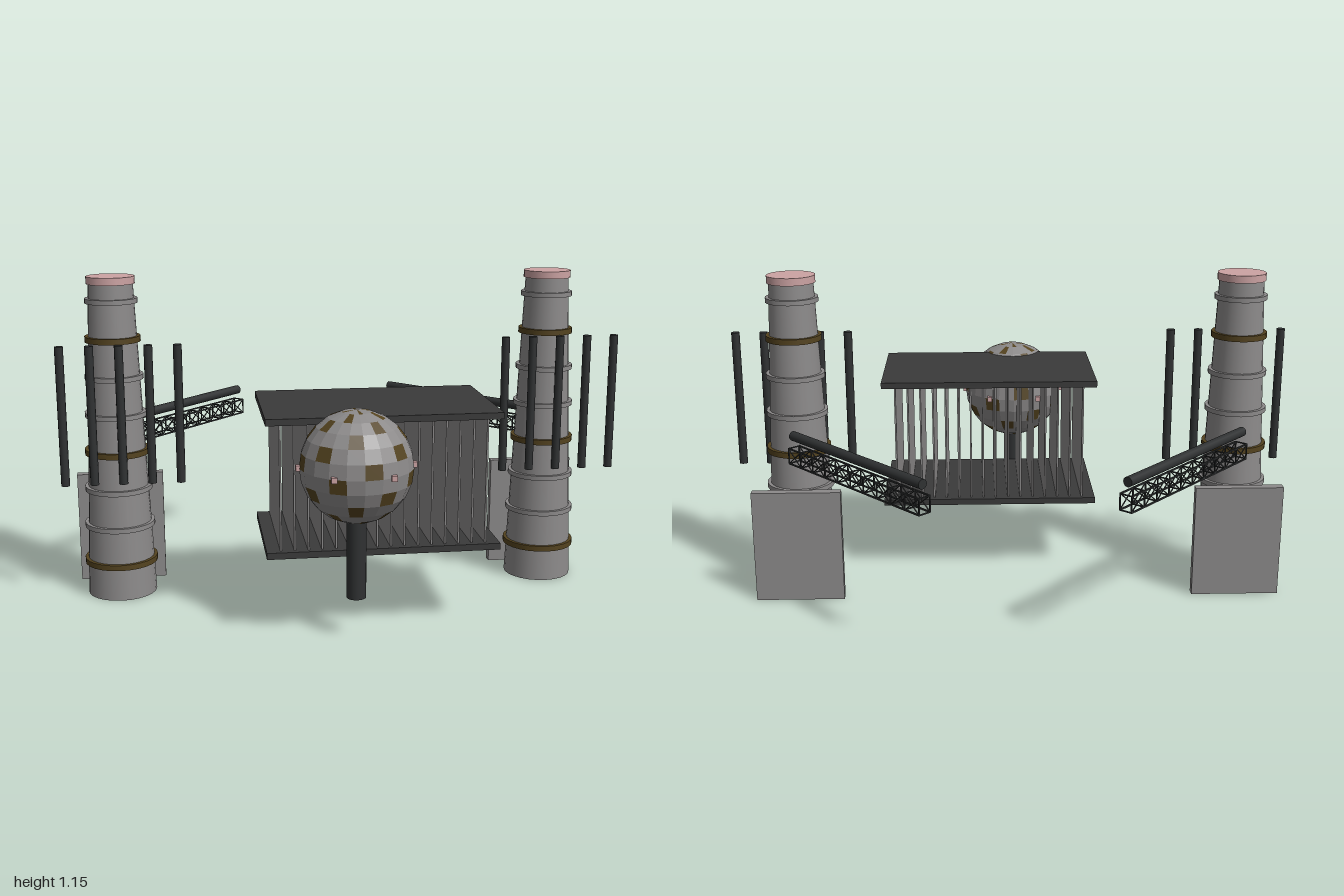
import * as THREE from 'three';

const mat = (name, color, extra = {}) => {
  const m = new THREE.MeshStandardMaterial({ color, ...extra });
  m.name = name;
  return m;
};

export function createModel() {
  const grey = mat('concreteGrey', 0x8c8a8a);
  const greyFacet = mat('concreteGreyFaceted', 0x8c8a8a, { flatShading: true });
  const olive = mat('oliveBrown', 0x54431f);
  const oliveFacet = mat('oliveBrownFaceted', 0x54431f, { flatShading: true });
  const dark = mat('darkSteel', 0x2f3132);
  const slabDark = mat('slabCharcoal', 0x3a3a3a);
  const pink = mat('palePink', 0xcca3a3);

  const root = new THREE.Group();
  root.name = 'industrialSite';

  const add = (parent, name, geo, material, x = 0, y = 0, z = 0) => {
    const m = new THREE.Mesh(geo, material);
    m.name = name;
    m.position.set(x, y, z);
    parent.add(m);
    return m;
  };
  const box = (w, h, d) => new THREE.BoxGeometry(w, h, d);
  const cyl = (rTop, rBottom, h, n = 24) => new THREE.CylinderGeometry(rTop, rBottom, h, n);

  // Thin square strut between two points
  const strut = (parent, name, a, b, t) => {
    const m = add(parent, name, box(t, t, a.distanceTo(b)), dark);
    m.position.copy(a).add(b).multiplyScalar(0.5);
    m.quaternion.setFromUnitVectors(new THREE.Vector3(0, 0, 1), b.clone().sub(a).normalize());
  };

  // Lattice boom with a tube above it, running along local +z
  const makeBoom = () => {
    const g = new THREE.Group();
    g.name = 'boom';
    const L = 0.7, bays = 10, hw = 0.022, y0 = 0.511, y1 = 0.565, t = 0.005;
    const P = (x, y, z) => new THREE.Vector3(x, y, z);
    for (const x of [-hw, hw])
      for (const y of [y0, y1]) strut(g, 'boomChord', P(x, y, 0), P(x, y, L), t);
    for (let i = 0; i <= bays; i++) {
      const z = (i * L) / bays, zn = z + L / bays;
      for (const x of [-hw, hw]) {
        strut(g, 'boomPost', P(x, y0, z), P(x, y1, z), 0.004);
        if (i < bays) {
          strut(g, 'boomBrace', P(x, y0, z), P(x, y1, zn), 0.003);
          strut(g, 'boomBrace', P(x, y1, z), P(x, y0, zn), 0.003);
        }
      }
      for (const y of [y0, y1]) {
        strut(g, 'boomCrossbar', P(-hw, y, z), P(hw, y, z), 0.004);
      }
    }
    const tube = add(g, 'boomTube', cyl(0.017, 0.017, L - 0.005, 16), dark, 0, 0.606, L / 2 - 0.004);
    tube.rotation.x = Math.PI / 2;
    return g;
  };

  // Two tapered towers with bands, pipes, rear slab and boom
  const towerH = 1.125, rBase = 0.123, rTop = 0.077;
  for (const s of [-1, 1]) {
    const g = new THREE.Group();
    g.name = s > 0 ? 'leftTower' : 'rightTower';
    g.position.set(-0.024 + s * 0.781, 0, -0.038);
    root.add(g);
    add(g, 'towerShaft', cyl(rTop, rBase, towerH), grey, 0, towerH / 2, 0);
    add(g, 'towerCap', cyl(0.084, 0.084, 0.026), pink, 0, 1.133, 0);
    for (let i = 0; i < 8; i++) {
      const y = 0.124 + i * 0.134;
      const r = rBase + (rTop - rBase) * (y / towerH) + 0.012;
      const isOlive = i % 3 === 0;
      add(g, isOlive ? 'oliveBand' : 'greyBand', cyl(r, r, isOlive ? 0.02 : 0.017),
        isOlive ? olive : grey, 0, y, 0);
    }
    for (let i = -2; i <= 2; i++)
      add(g, 'verticalPipe', cyl(0.015, 0.015, 0.49, 12), dark, 0.023 + i * 0.1, 0.675, 0.112);
    add(g, 'rearSlab', box(0.312, 0.405, 0.033), grey, 0, 0.2025, -0.14);
    const boom = makeBoom();
    boom.position.z = -0.131;
    boom.rotation.y = Math.atan2(-s * 0.47, -0.52);
    g.add(boom);
  }

  // Finned block between two slabs
  const stack = new THREE.Group();
  stack.name = 'finnedBlock';
  stack.position.set(0.075, 0, 0.262);
  root.add(stack);
  add(stack, 'topSlab', box(0.78, 0.022, 0.47), slabDark, 0, 0.729, 0);
  add(stack, 'bottomSlab', box(0.78, 0.022, 0.47), slabDark, 0, 0.283, 0);
  for (let i = 0; i < 16; i++)
    add(stack, 'fin', box(0.006, 0.426, 0.43), grey, -0.342 + i * 0.0456, 0.506, 0);

  // Chequered sphere on a post
  const ball = new THREE.Group();
  ball.name = 'sphereTank';
  ball.position.set(-0.025, 0.585, 0.523);
  root.add(ball);
  const cols = 20, rows = 12;
  const patches = (wantOlive) => {
    const geo = new THREE.SphereGeometry(0.186, cols, rows);
    const src = geo.index.array, out = [];
    let k = 0;
    for (let j = 0; j < rows; j++)
      for (let i = 0; i < cols; i++) {
        const n = j === 0 || j === rows - 1 ? 3 : 6;
        if (((i + 2 * j) % 5 === 0) === wantOlive) out.push(...src.slice(k, k + n));
        k += n;
      }
    geo.setIndex(out);
    return geo;
  };
  add(ball, 'sphereShell', patches(false), greyFacet);
  add(ball, 'spherePatches', patches(true), oliveFacet);
  for (let i = 0; i < 6; i++) {
    const a = (i * Math.PI) / 3;
    add(ball, 'sphereLamp', box(0.018, 0.018, 0.018), pink, 0.188 * Math.cos(a), 0, 0.188 * Math.sin(a));
  }
  add(ball, 'spherePost', cyl(0.033, 0.033, 0.27, 16), dark, 0, -0.31, 0);

  return root;
}
